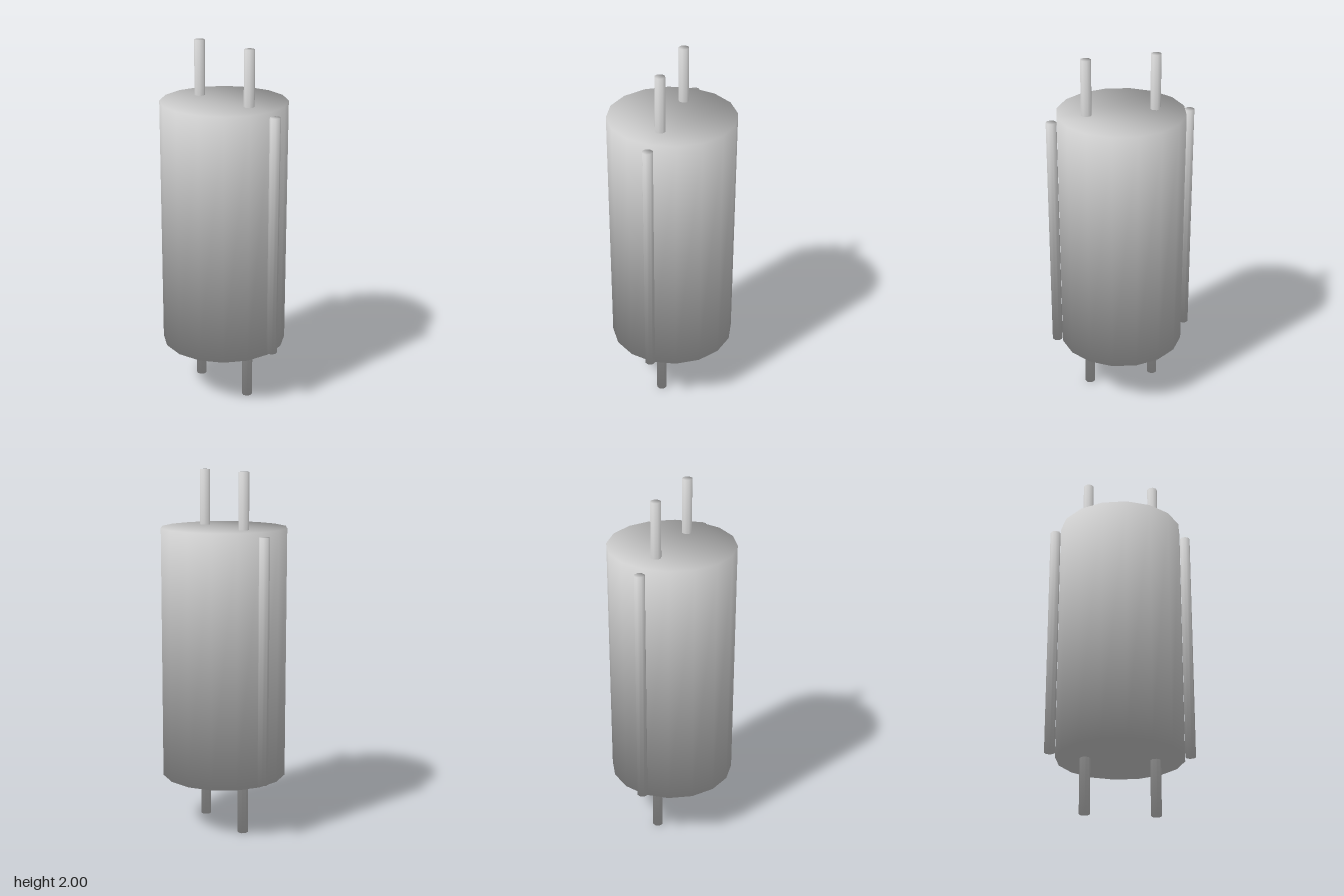
import * as THREE from 'three';

const grey = new THREE.MeshStandardMaterial({ color: 0xcccccc });
grey.name = 'plain grey';

// Upright prism whose rim normals blend the caps into the sides, so it shades softly all over
function softPrism(name, radius, sides, bottom, top, x = 0) {
  const pos = [], norm = [], index = [];
  const step = (2 * Math.PI) / sides;
  // angle-weighted rim normal: one cap corner against two square side corners
  const rim = new THREE.Vector2(Math.PI * Math.cos(step / 2), Math.PI - step).normalize();
  for (const [y, up] of [[bottom, -1], [top, 1]]) {
    for (let i = 0; i < sides; i++) {
      const c = Math.cos(i * step), s = Math.sin(i * step);
      pos.push(c * radius, y, s * radius);
      norm.push(c * rim.x, up * rim.y, s * rim.x);
    }
  }
  // side walls
  for (let i = 0; i < sides; i++) {
    const j = (i + 1) % sides;
    index.push(i, i + sides, j, j, i + sides, j + sides);
  }
  // caps without a centre point
  for (let i = 1; i < sides - 1; i++) {
    index.push(0, i, i + 1);
    index.push(sides, sides + i + 1, sides + i);
  }
  const geometry = new THREE.BufferGeometry();
  geometry.setAttribute('position', new THREE.Float32BufferAttribute(pos, 3));
  geometry.setAttribute('normal', new THREE.Float32BufferAttribute(norm, 3));
  geometry.setIndex(index);
  const mesh = new THREE.Mesh(geometry, grey);
  mesh.name = name;
  mesh.position.x = x;
  return mesh;
}

export function createModel() {
  const model = new THREE.Group();
  model.name = 'canister';

  // Main drum
  model.add(softPrism('drum', 0.348, 16, 0.305, 1.695));

  // Long rods through the drum, and shorter rods along its flanks
  for (const [side, sign] of [['left', 1], ['right', -1]]) {
    model.add(softPrism(side + 'ThroughRod', 0.029, 8, 0, 2, sign * 0.189));
    model.add(softPrism(side + 'FlankRod', 0.029, 8, 0.33, 1.672, sign * 0.378));
  }
  return model;
}
